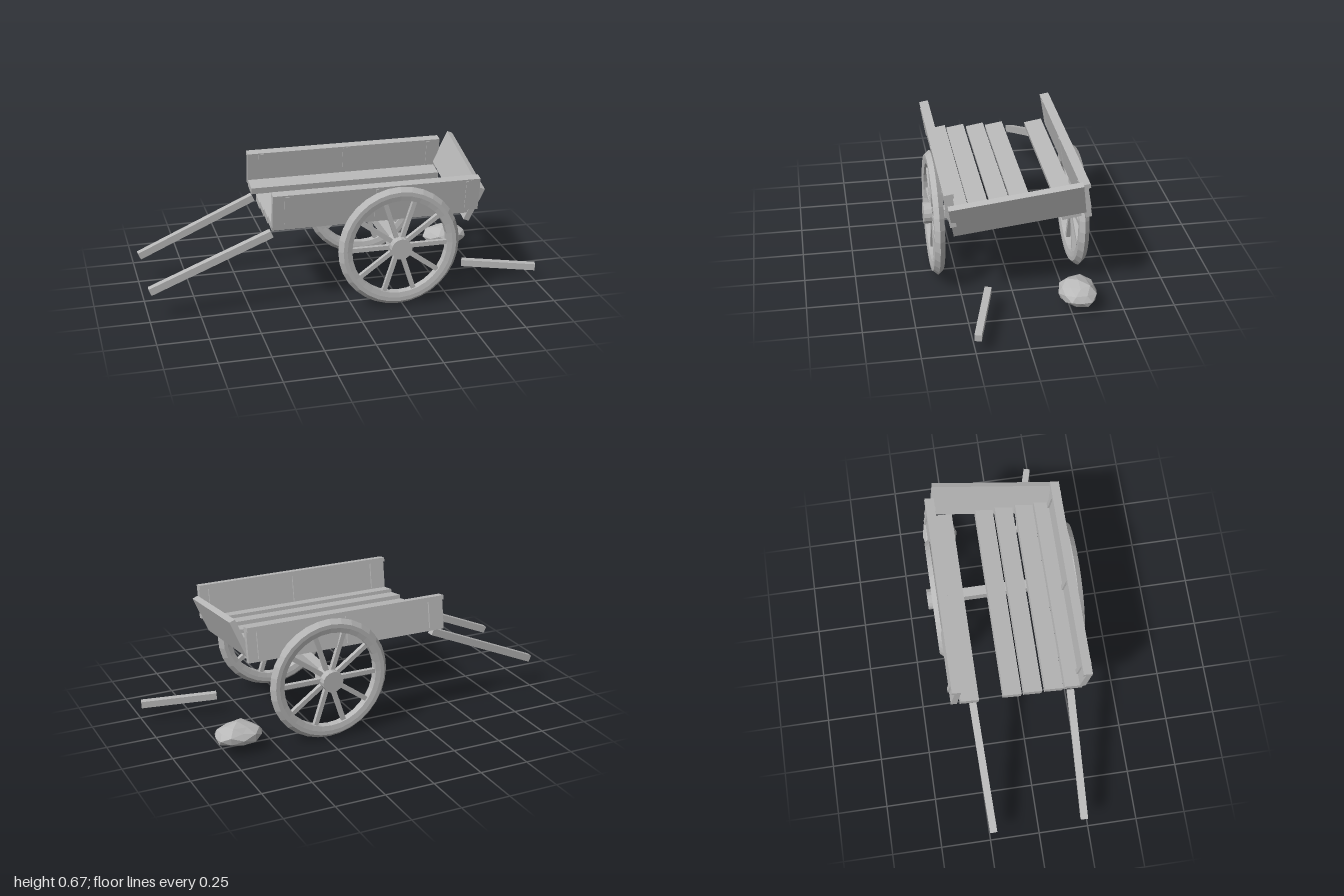
import * as THREE from 'three';

export function createModel() {
  const model = new THREE.Group();
  const grey = new THREE.MeshStandardMaterial({ color: 0xb8b8b8, flatShading: true });
  grey.name = 'weathered grey';

  const add = (parent, name, geometry, x = 0, y = 0, z = 0) => {
    const mesh = new THREE.Mesh(geometry, grey);
    mesh.name = name;
    mesh.position.set(x, y, z);
    parent.add(mesh);
    return mesh;
  };
  const box = (w, h, d) => new THREE.BoxGeometry(w, h, d);

  // square beam between two points
  const beam = (name, a, b, size) => {
    const from = new THREE.Vector3(...a), to = new THREE.Vector3(...b);
    const mid = from.clone().add(to).multiplyScalar(0.5);
    const mesh = add(model, name, box(size, size, from.distanceTo(to)), mid.x, mid.y, mid.z);
    mesh.lookAt(to);
  };

  const tilt = 0.163; // the boards have all slumped by the same angle

  // floor planks, with one missing
  for (const z of [0.255, 0.157, 0.052, -0.05, -0.262]) {
    add(model, 'floorPlank', box(1.01, 0.034, 0.092), 0.105, 0.463, z).rotation.x = tilt;
  }

  // side boards with a top rail and cleats
  for (const [name, z] of [['leftSide', 0.312], ['rightSide', -0.328]]) {
    const side = new THREE.Group();
    side.name = name;
    side.position.set(0.12, 0.552, z);
    side.rotation.x = tilt;
    add(side, 'sidePanel', box(1.04, 0.17, 0.03), 0, -0.005, 0.003);
    add(side, 'topRail', box(1.04, 0.022, 0.046), 0, 0.071, -0.004);
    for (const x of [-0.45, 0, 0.46]) {
      add(side, 'cleat', box(0.024, 0.15, 0.044), x, 0, 0);
    }
    model.add(side);
  }

  // loose tailboard, leaning back and rolled
  const tail = add(model, 'tailboard', box(0.03, 0.188, 0.63), 0.642, 0.532, 0);
  tail.rotation.set(tilt, 0, -0.375, 'ZYX');

  // axle
  add(model, 'axle', box(0.05, 0.05, 0.62), 0.225, 0.315, 0);

  // wheels: bevelled rim, ten spokes, hub
  const rimProfile = [
    [0.243, -0.02], [0.243, 0.02], [0.268, 0.025], [0.288, 0.025],
    [0.309, 0], [0.288, -0.025], [0.268, -0.025], [0.243, -0.02],
  ].map(([r, h]) => new THREE.Vector2(r, h)).reverse();
  const rimGeometry = new THREE.LatheGeometry(rimProfile, 32);
  // make sure the rim faces outward
  const p = rimGeometry.attributes.position, index = rimGeometry.index.array;
  let volume = 0;
  const [a, b, c] = [0, 1, 2].map(() => new THREE.Vector3());
  for (let i = 0; i < index.length; i += 3) {
    a.fromBufferAttribute(p, index[i]);
    b.fromBufferAttribute(p, index[i + 1]);
    c.fromBufferAttribute(p, index[i + 2]);
    volume += a.dot(b.cross(c));
  }
  if (volume < 0) {
    index.reverse();
    rimGeometry.computeVertexNormals();
  }
  rimGeometry.rotateX(Math.PI / 2);
  const hubGeometry = new THREE.CylinderGeometry(0.053, 0.053, 0.1, 16).rotateX(Math.PI / 2);
  const spokeGeometry = box(0.21, 0.022, 0.022).translate(0.15, 0, 0);
  for (const [name, y, z] of [['leftWheel', 0.318, 0.35], ['rightWheel', 0.309, -0.349]]) {
    const wheel = new THREE.Group();
    wheel.name = name;
    wheel.position.set(0.226, y, z);
    add(wheel, 'rim', rimGeometry);
    add(wheel, 'hub', hubGeometry);
    for (let i = 0; i < 10; i++) {
      add(wheel, 'spoke', spokeGeometry).rotation.z = (i * Math.PI) / 5;
    }
    model.add(wheel);
  }

  // pulling shafts and the fallen piece of wood
  beam('leftShaft', [-0.992, 0.154, 0.226], [-0.39, 0.405, 0.243], 0.036);
  beam('rightShaft', [-0.992, 0.154, -0.231], [-0.39, 0.415, -0.246], 0.036);
  beam('fallenBeam', [0.63, 0.1, 0.138], [0.995, 0.08, 0.24], 0.034);

  // flat-bottomed stone
  const stoneGeometry = new THREE.IcosahedronGeometry(1, 1);
  const s = stoneGeometry.attributes.position;
  for (let i = 0; i < s.count; i++) {
    const x = s.getX(i), y = s.getY(i), z = s.getZ(i);
    const bump = 1 + 0.07 * Math.sin(5 * x + 3 * z + 2 * y);
    s.setXYZ(i, x * 0.12 * bump, Math.max(y * 0.062 * bump, -0.025), z * 0.093 * bump);
  }
  stoneGeometry.computeVertexNormals();
  add(model, 'stone', stoneGeometry, 0.683, 0.081, -0.287);

  return model;
}
